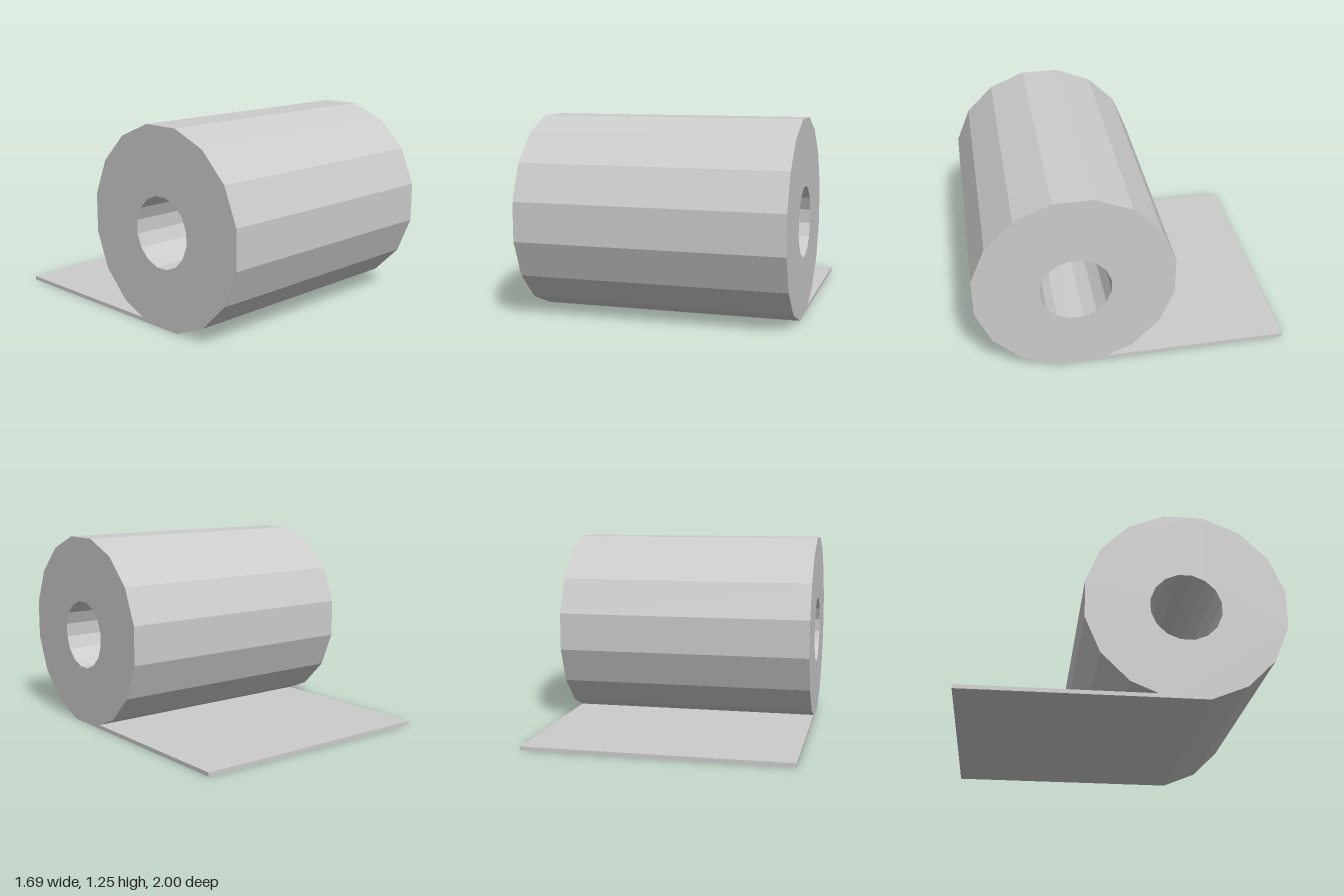
import * as THREE from 'three';

const WIDTH = 1.69;
const SIDES = 16;
const APOTHEM = 0.625; // centre of the roll to its flat sides
const ROLL_Z = 0.375;
const THICKNESS = 0.025;

// Regular polygon with flat sides at top, bottom, front and back
function polygon(cx, cy, apothem) {
  const radius = apothem / Math.cos(Math.PI / SIDES);
  return Array.from({ length: SIDES }, (_, i) => {
    const a = ((i + 0.5) / SIDES) * Math.PI * 2;
    return new THREE.Vector2(cx + radius * Math.cos(a), cy + radius * Math.sin(a));
  });
}

// Extrude a side profile (profile x = -z) across the full width
function acrossWidth(name, shape, material) {
  const geometry = new THREE.ExtrudeGeometry(shape, { depth: WIDTH, bevelEnabled: false });
  geometry.translate(0, 0, -WIDTH / 2);
  geometry.rotateY(Math.PI / 2);
  const mesh = new THREE.Mesh(geometry, material);
  mesh.name = name;
  return mesh;
}

export function createModel() {
  const group = new THREE.Group();
  group.name = 'paperRoll';
  const material = new THREE.MeshStandardMaterial({ color: 0xcccccc, flatShading: true });

  // Wound roll with its slightly low core hole
  const roll = new THREE.Shape(polygon(-ROLL_Z, APOTHEM, APOTHEM));
  roll.holes.push(new THREE.Path(polygon(-ROLL_Z + 0.003, 0.604, 0.221)));
  group.add(acrossWidth('roll', roll, material));

  // Loose sheet leaving the bottom of the roll, its end cut to the roll's sloping side
  const start = -ROLL_Z + APOTHEM * Math.tan(Math.PI / SIDES);
  const slope = THICKNESS / Math.tan((Math.PI * 2) / SIDES);
  const sheet = new THREE.Shape([
    new THREE.Vector2(start, 0),
    new THREE.Vector2(1, 0),
    new THREE.Vector2(1, THICKNESS),
    new THREE.Vector2(start + slope, THICKNESS),
  ]);
  group.add(acrossWidth('looseSheet', sheet, material));

  return group;
}
